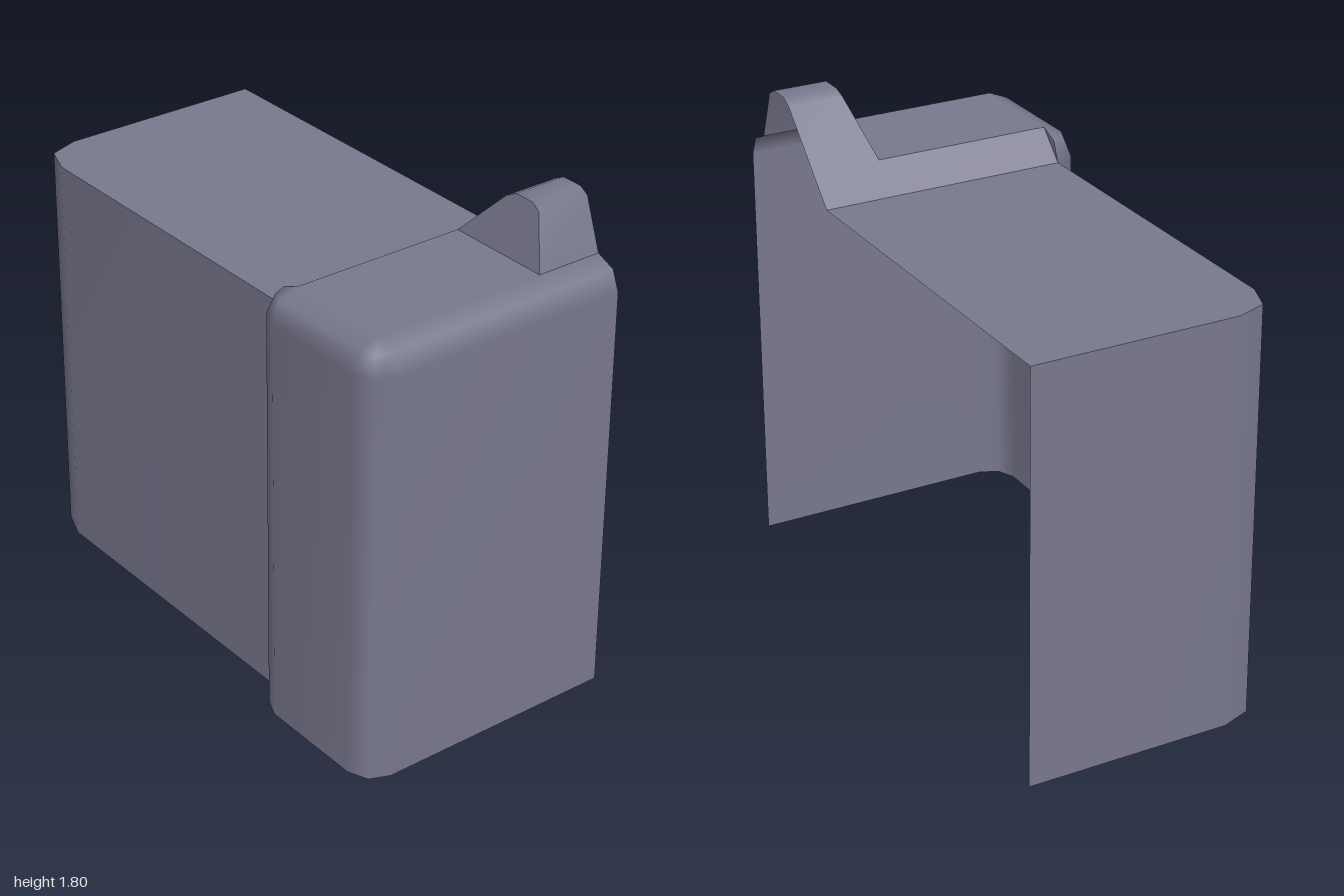
import * as THREE from 'three';

const shell = new THREE.MeshStandardMaterial({ color: 0x79798f, side: THREE.DoubleSide });
shell.name = 'slateShell';

// Smooth sheet through rows of points
function sheet(rows) {
  const n = rows[0].length, index = [];
  for (let i = 0; i < rows.length - 1; i++) {
    for (let j = 0; j < n - 1; j++) {
      const a = i * n + j;
      index.push(a, a + n, a + 1, a + n, a + n + 1, a + 1);
    }
  }
  const g = new THREE.BufferGeometry();
  g.setAttribute('position', new THREE.Float32BufferAttribute(rows.flat(2), 3));
  g.setIndex(index);
  g.computeVertexNormals();
  return g;
}

// Flat convex panel
function panel(points) {
  const index = [];
  for (let i = 1; i < points.length - 1; i++) index.push(0, i, i + 1);
  const g = new THREE.BufferGeometry();
  g.setAttribute('position', new THREE.Float32BufferAttribute(points.flat(), 3));
  g.setIndex(index);
  g.computeVertexNormals();
  return g;
}

export function createModel() {
  const group = new THREE.Group();
  const add = (name, geometry) => {
    const mesh = new THREE.Mesh(geometry, shell);
    mesh.name = name;
    group.add(mesh);
  };

  // Front post: rounded wall that curls in to the top
  const R = 0.1, cut = 0.5;
  const plan = (y, r) => {
    const row = [[cut, y, 0.9 + r]];
    for (const [cz, start] of [[0.9, 0], [0.5, 2]]) {
      for (let k = 0; k < 3; k++) {
        const t = (start + k) * Math.PI / 4;
        row.push([-0.4 - r * Math.sin(t), y, cz + r * Math.cos(t)]);
      }
    }
    return row;
  };
  const rows = [plan(0, R)];
  for (let k = 0; k < 3; k++) {
    const a = k * Math.PI / 4;
    rows.push(plan(1.5 + R * Math.sin(a), k === 2 ? 0 : R * Math.cos(a)));
  }
  const post = sheet(rows);
  const normals = post.attributes.normal;
  for (let i = normals.count - 7; i < normals.count; i++) normals.setXYZ(i, 0, 1, 0);
  add('postWall', post);
  add('postTop', panel([[-0.4, 1.6, 0.9], [0.25, 1.6, 0.9], [0.25, 1.6, 0.5], [-0.4, 1.6, 0.5]]));

  // Sloping strip down to the body, and the sliver closing its end
  add('ramp', sheet([
    [[cut, 1.6, 0.5], [-0.4, 1.6, 0.5]],
    [[cut, 1.5, 0.4], [-0.4, 1.5, 0.4]],
  ]));
  add('rampEnd', panel([[-0.4, 1.5, 0.4], [-0.4, 1.571, 0.429], [-0.4, 1.6, 0.5]]));

  // Hump on the post, hollow with a leaning side
  const profile = [[0.9, 1.6], [0.835, 1.78], [0.8, 1.8], [0.72, 1.8], [0.68, 1.78], [0.5, 1.6]];
  const lean = y => 0.25 + (y - 1.6) * 0.25;
  add('humpCover', sheet(profile.map(([z, y]) => [[cut, y, z], [lean(y), y, z]])));
  add('humpSide', panel(profile.map(([z, y]) => [lean(y), y, z]).reverse()));

  // Body: side and back walls meeting at a bevelled corner, flat top
  const side = [[-0.4, 0.4], [-0.4, -0.85], [-0.36, -0.96]];
  const back = [[-0.36, -0.96], [-0.25, -1], [cut, -1]];
  const wall = path => sheet([0, 1.5].map(y => path.map(([x, z]) => [x, y, z])));
  add('bodySide', wall(side));
  add('bodyBack', wall(back));
  const outline = [...side, ...back.slice(1), [cut, 0.4]];
  add('bodyTop', panel(outline.map(([x, z]) => [x, 1.5, z]).reverse()));

  return group;
}
